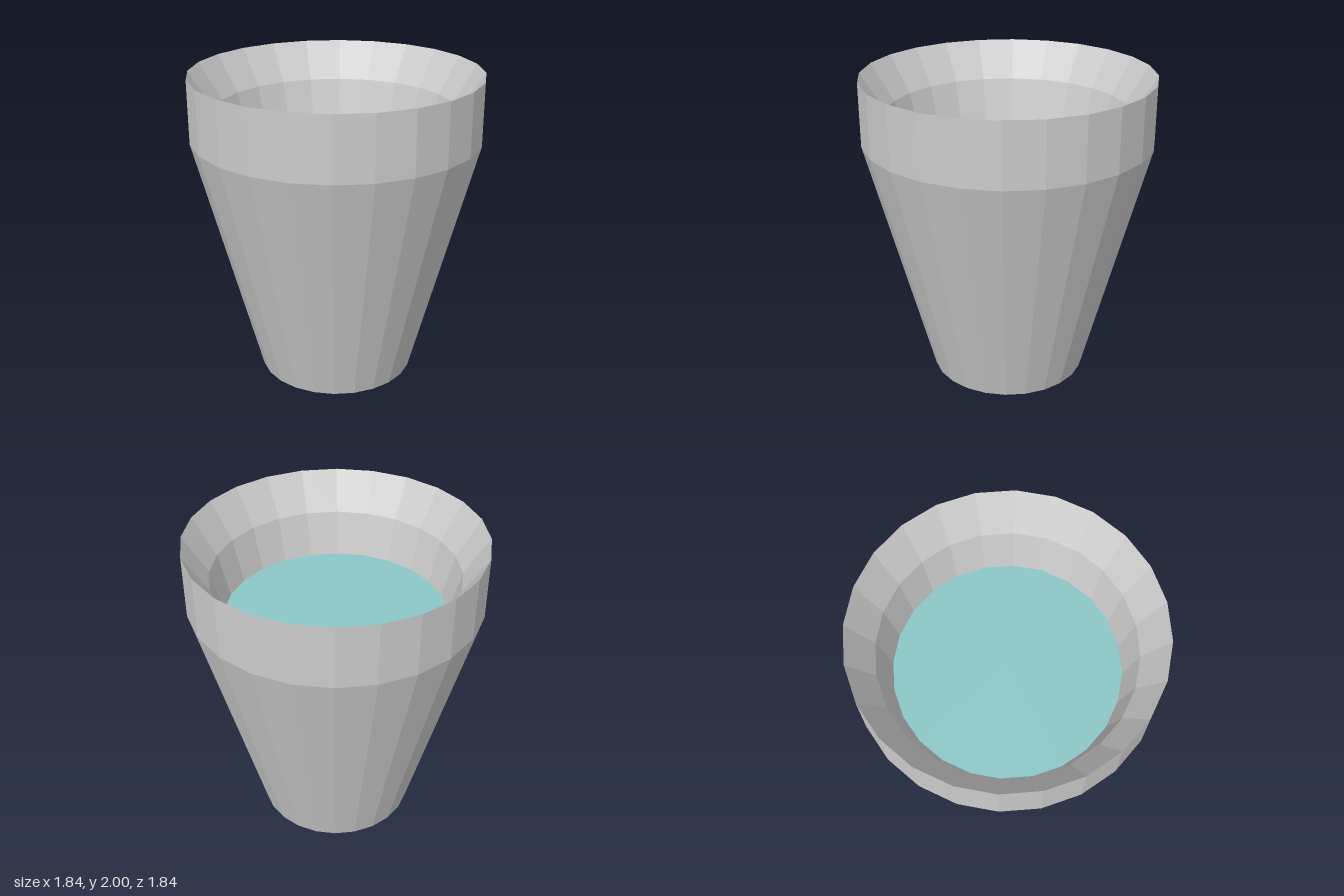
import * as THREE from 'three';

const SIDES = 24;

export function createModel() {
  const group = new THREE.Group();

  // Cup: closed profile running from the base centre, up the outside, over the sharp rim and down the inside
  const profile = [
    [0, 0], [0.505, 0], [0.92, 1.6], [0.92, 2],
    [0.77, 1.76], [0.35, 0.15], [0, 0.15],
  ].map(([r, y]) => new THREE.Vector2(r, y));
  const cup = new THREE.Mesh(
    new THREE.LatheGeometry(profile, SIDES),
    new THREE.MeshStandardMaterial({ color: 0xcccccc, flatShading: true })
  );
  cup.name = 'cup';
  group.add(cup);

  // Liquid surface resting against the inner wall
  const liquid = new THREE.Mesh(
    new THREE.CircleGeometry(0.7, SIDES).rotateX(-Math.PI / 2),
    new THREE.MeshStandardMaterial({ color: 0x8cc6c6, side: THREE.DoubleSide })
  );
  liquid.name = 'liquid';
  liquid.position.y = 1.48;
  group.add(liquid);

  return group;
}
